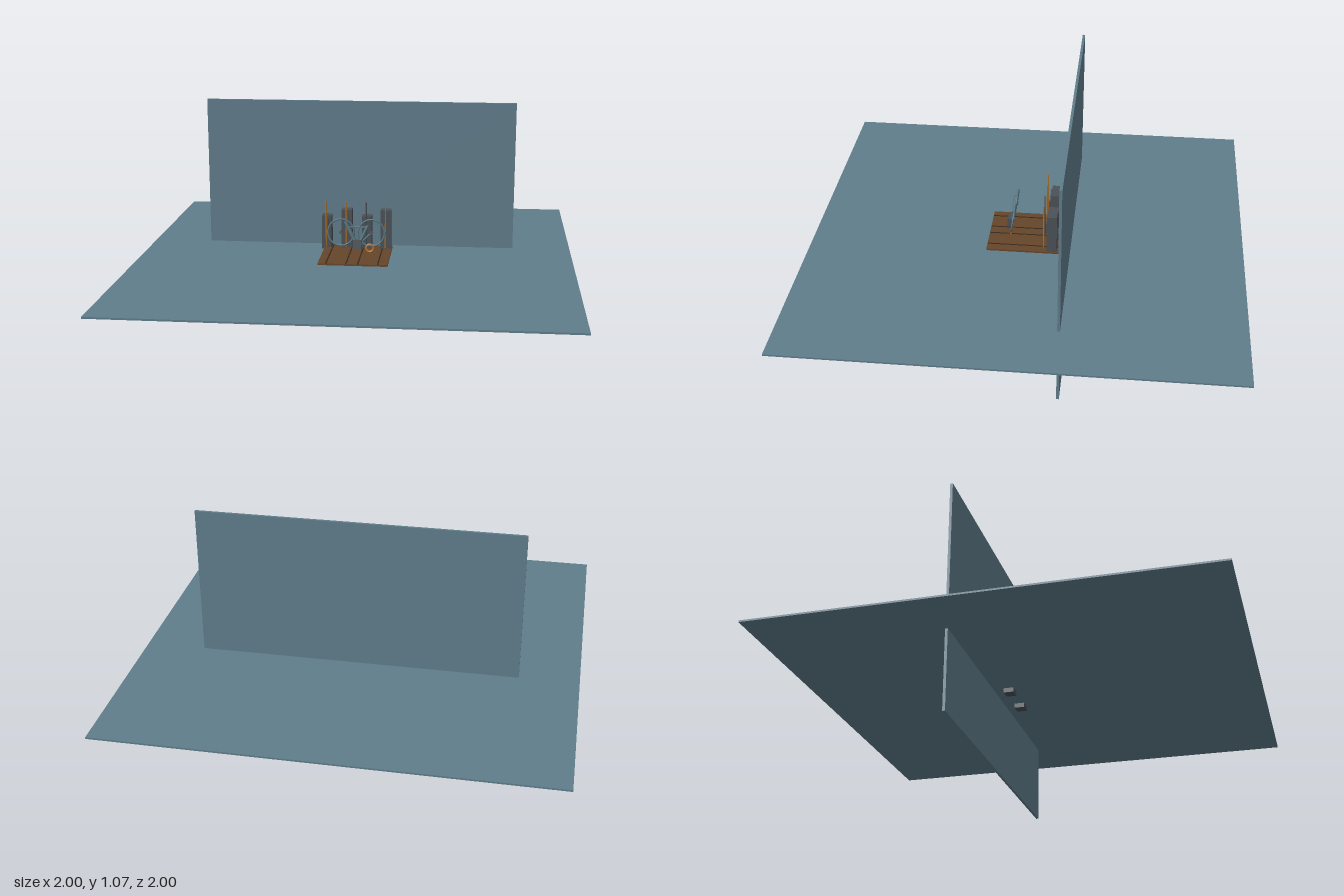
import * as THREE from 'three';

const mat = (name, color) => {
  const m = new THREE.MeshStandardMaterial({ color });
  m.name = name;
  return m;
};

export function createModel() {
  const slate = mat('slate blue', 0x607d8b);
  const wood = mat('brown wood', 0x66462a);
  const seam = mat('dark seam', 0x38291f);
  const steel = mat('dark steel', 0x4b5157);
  const copper = mat('copper', 0xb0722c);
  const metal = mat('blue metal', 0x557380);

  const model = new THREE.Group();
  const add = (parent, name, geo, material, x = 0, y = 0, z = 0) => {
    const m = new THREE.Mesh(geo, material);
    m.name = name;
    m.position.set(x, y, z);
    parent.add(m);
    return m;
  };
  const box = (w, h, d) => new THREE.BoxGeometry(w, h, d);

  // Ground slab and the wall that passes through it
  add(model, 'floor', box(2, 0.008, 2), slate, 0, 0.37, 0);
  add(model, 'backWall', box(1.46, 1.07, 0.012), slate, 0, 0.535, -0.2);

  // Plank deck with dark joints
  add(model, 'deck', box(0.32, 0.008, 0.335), wood, 0, 0.378, 0.0125);
  for (const x of [-0.122, -0.03, 0.024, 0.115])
    add(model, 'plankJoint', box(0.006, 0.002, 0.335), seam, x, 0.3825, 0.0125);

  // Alternating short and tall posts, each with a slim rod
  [-0.15, -0.055, 0.04, 0.13].forEach((x, i) => {
    const tall = i % 2 === 1;
    const bottom = tall ? 0.345 : 0.375;
    const top = tall ? 0.567 : 0.537;
    add(model, 'post', box(tall ? 0.05 : 0.046, top - bottom, 0.046), steel, x, (top + bottom) / 2, -0.122);
    add(model, 'rod', new THREE.CylinderGeometry(0.003, 0.003, 0.22, 8),
      i === 2 ? steel : copper, x, 0.5, tall ? -0.083 : -0.08);
    add(model, 'postPlate', box(0.02, 0.05, 0.006), steel, x, 0.5, -0.095);
  });

  // Leaning machine: two hoops, a V of bars and a gear
  const machine = new THREE.Group();
  machine.name = 'machine';
  machine.position.set(0, 0.49, 0.064);
  machine.rotation.x = -0.13;
  model.add(machine);
  const bar = (name, a, b, r, z, material) => {
    const p = new THREE.Vector3(a[0], a[1], z), q = new THREE.Vector3(b[0], b[1], z);
    const m = add(machine, name, new THREE.CylinderGeometry(r, r, p.distanceTo(q), 8), material);
    m.position.copy(p).lerp(q, 0.5);
    m.quaternion.setFromUnitVectors(new THREE.Vector3(0, 1, 0), q.sub(p).normalize());
  };
  for (const s of [-1, 1]) {
    add(machine, 'hoop', new THREE.TorusGeometry(0.061, 0.004, 8, 32), metal, 0.006 + s * 0.07, 0.01, 0);
    add(machine, 'hub', new THREE.CylinderGeometry(0.008, 0.008, 0.016, 10).rotateX(Math.PI / 2), steel, 0.006 + s * 0.07, 0.01, 0);
  }
  bar('leftBar', [-0.045, 0.062], [0.015, -0.055], 0.009, 0.006, metal);
  bar('rightBar', [0.06, 0.045], [0.015, -0.055], 0.007, 0.006, metal);
  bar('crossBar', [-0.03, 0.035], [0.055, 0.035], 0.004, 0, metal);
  bar('lowerBar', [0.015, -0.05], [0.076, 0.01], 0.004, 0, metal);
  add(machine, 'motorBox', box(0.04, 0.045, 0.03), steel, 0.012, -0.045, 0.012);
  add(machine, 'gear', new THREE.TorusGeometry(0.017, 0.005, 6, 12), copper, 0.07, -0.06, 0);
  return model;
}
